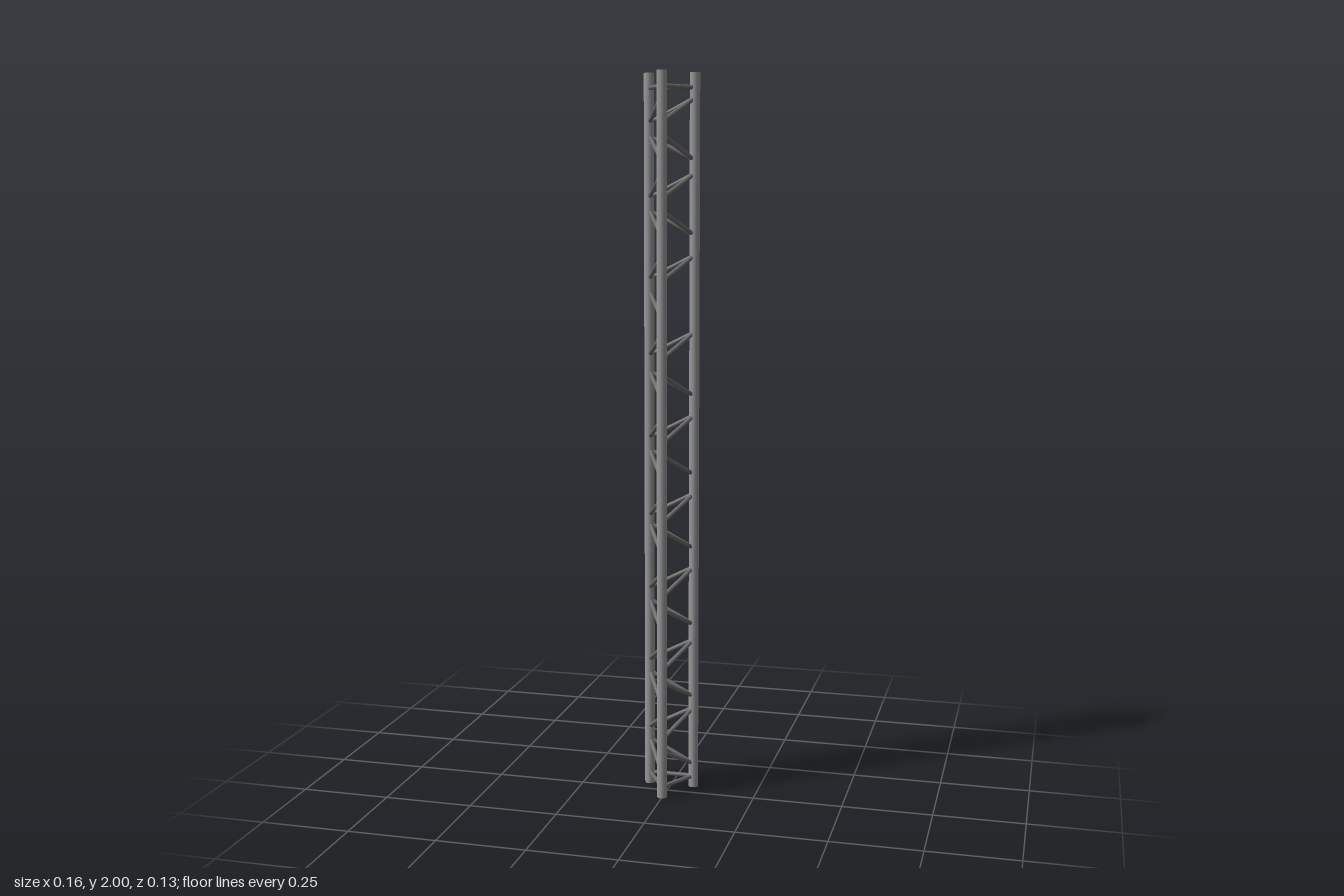
import * as THREE from 'three';

const chordMaterial = new THREE.MeshStandardMaterial({ color: 0x999999 });
const braceMaterial = new THREE.MeshStandardMaterial({ color: 0x6c6c6c });
const UP = new THREE.Vector3(0, 1, 0);

// Round bar running from a to b
function bar(name, a, b, radius, sides, material) {
  const dir = b.clone().sub(a);
  const mesh = new THREE.Mesh(new THREE.CylinderGeometry(radius, radius, dir.length(), sides), material);
  mesh.position.copy(a).add(b).multiplyScalar(0.5);
  mesh.quaternion.setFromUnitVectors(UP, dir.normalize());
  mesh.name = name;
  return mesh;
}

export function createModel() {
  const truss = new THREE.Group();
  truss.name = 'triangularTruss';

  const corners = {
    right: [0.064, -0.053],
    left: [-0.064, -0.053],
    front: [-0.001, 0.053],
  };
  const at = (corner, y) => new THREE.Vector3(corners[corner][0], y, corners[corner][1]);

  // Three main tubes
  for (const c of Object.keys(corners)) {
    truss.add(bar(c + 'Chord', at(c, 0), at(c, 2), 0.014, 24, chordMaterial));
  }

  // Faces: each brace runs from the first corner to the second
  const faces = [
    ['leftFace', 'left', 'front'],
    ['rightFace', 'front', 'right'],
    ['backFace', 'left', 'right'],
  ];
  const levels = [0.10, 0.20, 0.30, 0.40, 0.51, 0.61, 0.73, 0.82, 0.94,
    1.04, 1.16, 1.27, 1.38, 1.48, 1.60, 1.70, 1.80, 1.90];
  const openLevel = 12; // bay braced on the left face only

  for (const [name, a, b] of faces) {
    const face = new THREE.Group();
    face.name = name;

    // Level rungs at the bottom and top
    for (const y of [0.03, 1.96]) {
      face.add(bar('endRung', at(a, y), at(b, y), 0.006, 12, braceMaterial));
    }

    // Zigzag diagonals, alternating in slope
    levels.forEach((y, i) => {
      if (i === openLevel && name !== 'leftFace') return;
      const rise = i % 2 ? 0.033 : -0.033;
      face.add(bar('diagonalBrace', at(a, y - rise), at(b, y + rise), 0.006, 12, braceMaterial));
    });
    truss.add(face);
  }
  return truss;
}
